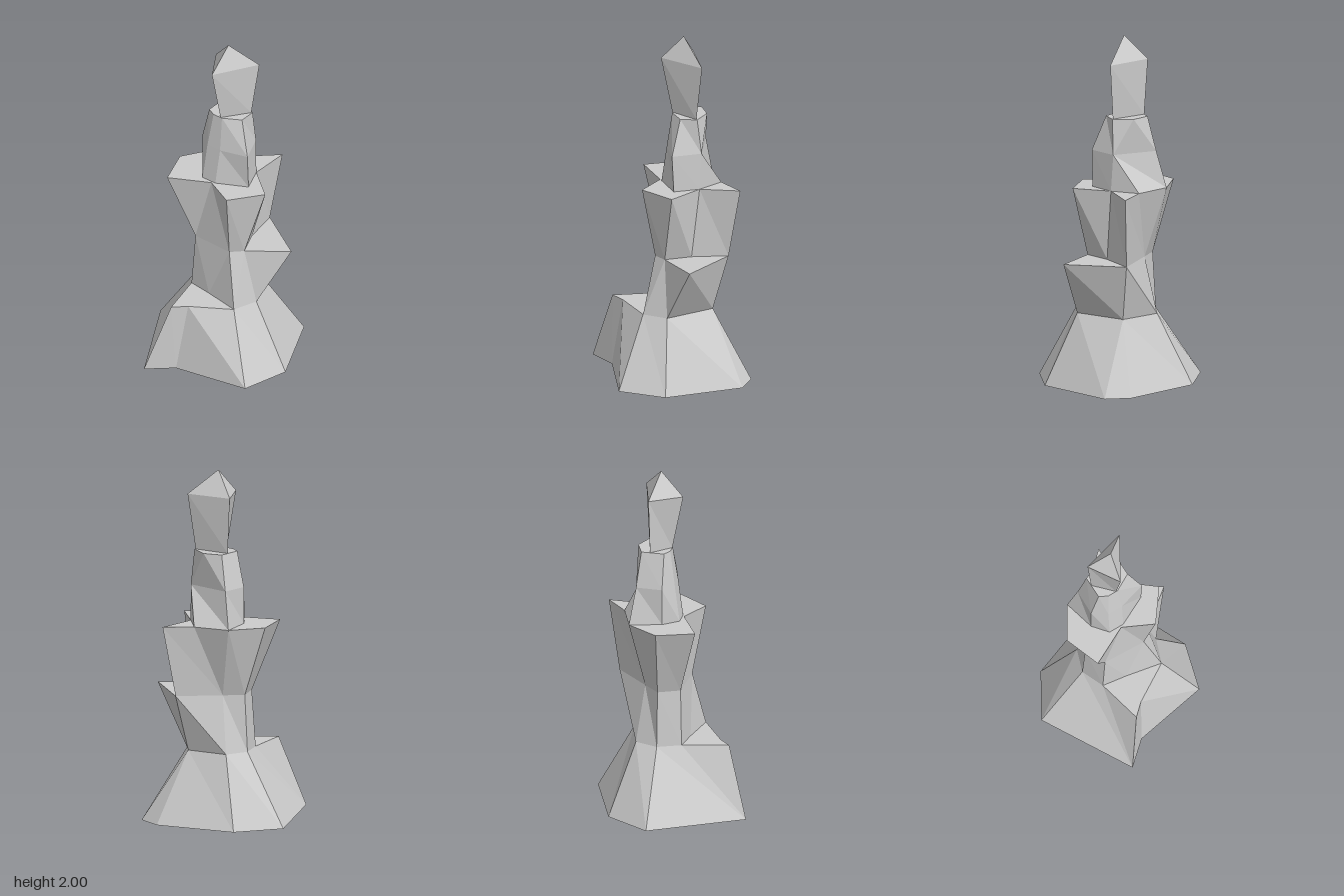
import * as THREE from 'three';

const material = new THREE.MeshStandardMaterial({ color: 0xcccccc, flatShading: true, side: THREE.DoubleSide });

// Repeats one corner of a ring so that two edges of the next ring fan out from it
const twice = (ring, i) => [...ring.slice(0, i + 1), ...ring.slice(i)];

// Faceted wall between two rings of [x, z] points, running front, +x, back, -x
function wall(y0, bottom, y1, top) {
  const pos = [];
  const push = (y, p) => pos.push(p[0], y, p[1]);
  bottom.forEach((b, i) => {
    const j = (i + 1) % bottom.length;
    push(y0, b); push(y0, bottom[j]); push(y1, top[i]);
    push(y0, bottom[j]); push(y1, top[j]); push(y1, top[i]);
  });
  const g = new THREE.BufferGeometry();
  g.setAttribute('position', new THREE.Float32BufferAttribute(pos, 3));
  g.computeVertexNormals();
  return g;
}

// Flat shelf closing the top of a section
function shelf(y, ring) {
  const outline = new THREE.Shape(ring.map(([x, z]) => new THREE.Vector2(x, -z)));
  return new THREE.ShapeGeometry(outline).rotateX(-Math.PI / 2).translate(0, y, 0);
}

export function createModel() {
  const group = new THREE.Group();
  group.name = 'figure';
  const add = (name, geometry) => {
    const mesh = new THREE.Mesh(geometry, material);
    mesh.name = name;
    group.add(mesh);
  };

  // Skirt: flared foot, open underneath, with a spur on the -x side
  const hem = [[0.01, 0.46], [0.425, 0.265], [0.46, 0.12], [0.3, -0.315], [0.05, -0.465],
    [-0.46, -0.18], [-0.34, -0.045], [-0.26, 0.385]];
  const skirtTop = [[0, 0.26], [0.24, 0.08], [0.18, -0.15], [0.05, -0.195],
    [-0.08, -0.14], [-0.34, -0.08], [-0.275, -0.01], [-0.14, 0.21]];
  add('skirt', wall(0, twice(hem, 5), 0.4, twice(skirtTop, 1)));
  add('skirtShelf', shelf(0.4, skirtTop));

  // Waist: starts inside the spur and ends in a ledge jutting to the front
  const waistBottom = [...skirtTop.slice(0, 5), [-0.1, 0], skirtTop[7]];
  const waistTop = [[0.14, 0.4], [0.33, 0.095], [0.14, -0.09], [0.05, -0.175],
    [-0.07, -0.12], [-0.08, 0.13], [-0.02, 0.19]];
  add('waist', wall(0.4, waistBottom, 0.725, waistTop));
  add('waistShelf', shelf(0.725, waistTop));

  // Torso: starts behind the ledge and widens upwards
  const torsoBottom = [[0.125, 0.13], ...waistTop.slice(1)];
  const torsoTop = [[0.17, 0.125], [0.4, 0.13], [0.28, 0], [0.21, -0.195], [0.03, -0.31],
    [-0.18, -0.235], [-0.065, -0.01], [-0.15, 0.165], [0.03, 0.3]];
  add('torso', wall(0.725, twice(twice(torsoBottom, 4), 2), 1.13, torsoTop));
  add('torsoShelf', shelf(1.13, torsoTop));

  // Chest and shoulders
  const chestBottom = [torsoTop[0], torsoTop[2], torsoTop[3],
    [0.03, -0.15], [-0.055, -0.08], [-0.055, 0.01], [0.03, 0.18]];
  const chestTop = [[0.18, 0.115], [0.18, -0.145], [0.03, -0.15],
    [-0.025, -0.07], [-0.025, 0.02], [0.02, 0.18]];
  const shoulderTop = [[0.155, 0.11], [0.2, 0], [0.16, -0.1], [0.03, -0.1],
    [0.005, -0.05], [0.005, 0.01], [0.06, 0.11]];
  const chestRim = twice(chestTop, 0);
  add('chest', wall(1.13, chestBottom, 1.34, chestRim));
  add('shoulders', wall(1.34, chestRim, 1.54, shoulderTop));
  add('shoulderShelf', shelf(1.54, shoulderTop));

  // Three-sided head, wider at the top, with a pointed crown
  const neck = [[0.005, 0], [0.15, 0.105], [0.11, -0.1]];
  const brow = [[-0.06, -0.01], [0.185, 0.135], [0.115, -0.12]];
  add('head', wall(1.54, neck, 1.86, brow));
  add('crown', wall(1.86, brow, 2, brow.map(() => [0.07, 0.005])));
  return group;
}
